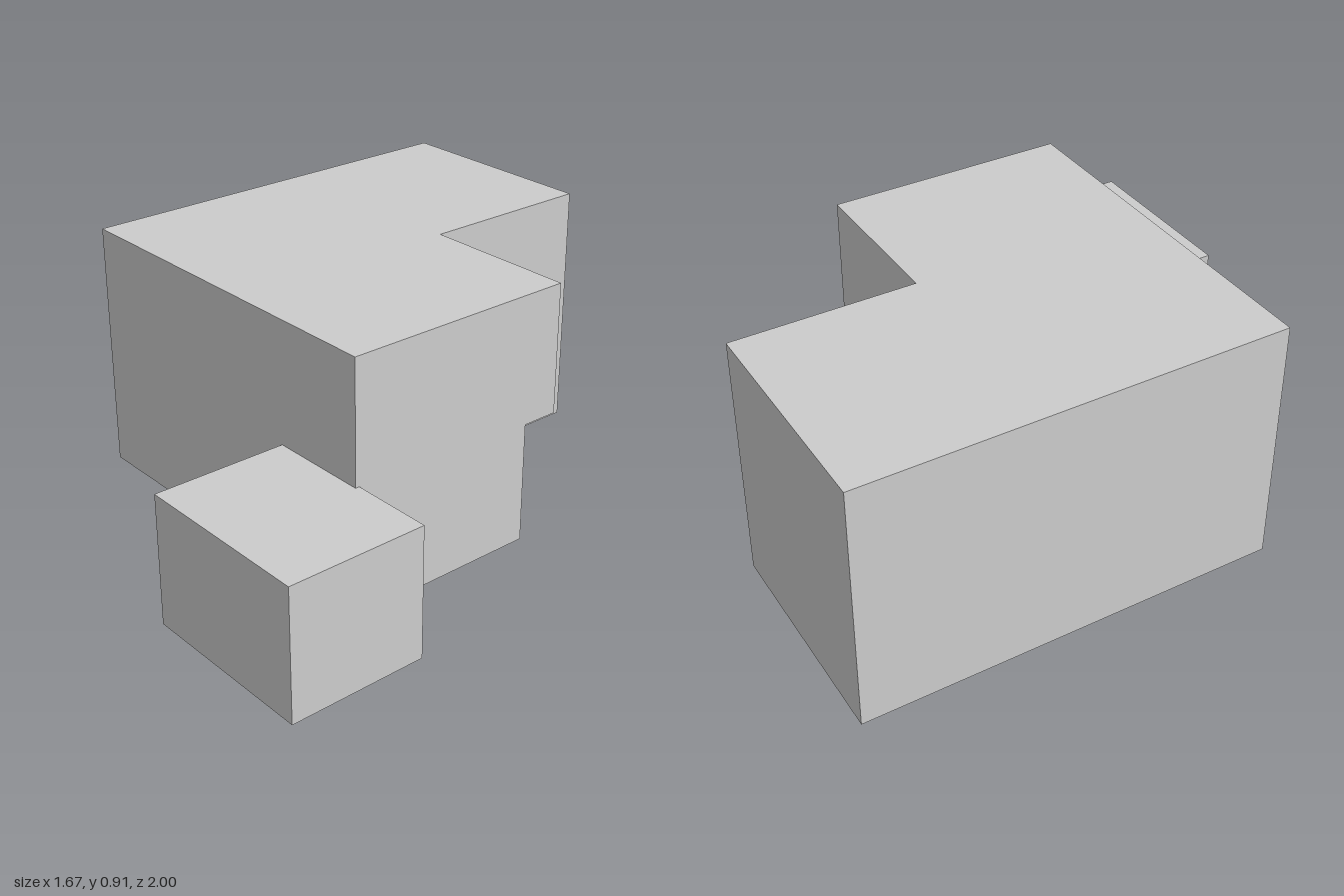
import * as THREE from 'three';

export function createModel() {
  const model = new THREE.Group();
  const material = new THREE.MeshStandardMaterial({ color: 0xcccccc, flatShading: true });

  function add(name, geometry, parent = model) {
    const mesh = new THREE.Mesh(geometry, material);
    mesh.name = name;
    parent.add(mesh);
    return mesh;
  }

  // Box given by its lower and upper corners
  function block(name, x0, x1, y0, y1, z0, z1, parent) {
    const g = new THREE.BoxGeometry(x1 - x0, y1 - y0, z1 - z0);
    g.translate((x0 + x1) / 2, (y0 + y1) / 2, (z0 + z1) / 2);
    return add(name, g, parent);
  }

  const rect = (target, a0, a1, b0, b1) => {
    target.moveTo(a0, b0).lineTo(a1, b0).lineTo(a1, b1).lineTo(a0, b1).closePath();
    return target;
  };

  // Upright wall with rectangular openings [a0, a1, y0, y1], in the xy plane
  function pierced(a0, a1, y0, y1, openings, depth) {
    const shape = rect(new THREE.Shape(), a0, a1, y0, y1);
    for (const o of openings) shape.holes.push(rect(new THREE.Path(), ...o));
    return new THREE.ExtrudeGeometry(shape, { depth, bevelEnabled: false });
  }

  // Same wall running along z, its outer face at x
  function piercedAlongZ(name, x, z0, z1, y0, y1, openings) {
    const turned = openings.map(([a, b, c, d]) => [-b, -a, c, d]);
    const g = pierced(-z1, -z0, y0, y1, turned, T);
    g.rotateY(Math.PI / 2);
    g.translate(x - T, 0, 0);
    return add(name, g);
  }

  // L-shaped slab seen from above, its notch at the back
  function slab(name, notchZ, y0, y1) {
    const points = [[L, B], [N, B], [N, notchZ], [R, notchZ], [R, F], [L, F]];
    const shape = new THREE.Shape(points.map(([x, z]) => new THREE.Vector2(x, -z)));
    const g = new THREE.ExtrudeGeometry(shape, { depth: y1 - y0, bevelEnabled: false });
    g.rotateX(-Math.PI / 2);
    g.translate(0, y0, 0);
    return add(name, g);
  }

  const L = -0.84, R = 0.54, N = -0.035; // outer sides and notch side
  const B = -1, F = 0.515;               // back and front
  const T = 0.03;                        // wall thickness
  const lowZ = -0.215, highZ = -0.35;    // back of the wing, lower and upper storey
  const ceiling = 0.44;

  // Ground floor and overhanging upper storey
  slab('groundFloor', lowZ, 0, T);
  slab('upperStorey', highZ, ceiling, 0.91);

  // Plain outer walls of the ground storey
  block('leftWall', L, L + T, T, ceiling, B, F);
  block('rearWall', L + T, N, T, ceiling, B, B + T);
  block('frontWall', L + T, R, T, ceiling, F - T, F);
  block('wingSideWall', R - T, R, T, ceiling, lowZ, F - T);

  // Walls with the wide openings
  const wingWall = add('wingRearWall', pierced(N, R - T, T, ceiling, [[0.005, 0.495, T + 0.001, 0.335]], T));
  wingWall.position.z = lowZ;
  piercedAlongZ('notchWall', N, B + T, lowZ, T, ceiling, [[-0.9, -0.275, T + 0.001, 0.335]]);

  // Inner wall with two doorways
  const innerX = -0.25;
  piercedAlongZ('innerWall', innerX, -0.823, -0.18, T, ceiling, [
    [-0.351, -0.228, T + 0.001, 0.32],
    [-0.724, -0.6, T + 0.001, 0.32],
  ]);
  block('roomDivider', L + T, innerX - T, T, ceiling, -0.21, -0.18);
  block('stairWall', L + T, innerX - T, T, ceiling, -0.823, -0.793);

  // Staircase climbing away from the passage
  const stairs = new THREE.Group();
  stairs.name = 'staircase';
  model.add(stairs);
  const steps = 10, rise = 0.0235, run = 0.038;
  for (let i = 0; i < steps; i++) {
    const x1 = innerX - i * run;
    const x0 = i === steps - 1 ? L + T : x1 - run;
    block('step', x0, x1, T, T + (i + 1) * rise, B + T, -0.823, stairs);
  }

  // Low annex at the front corner
  block('annex', 0.175, 0.835, 0, 0.47, 0.5, 1);

  return model;
}
